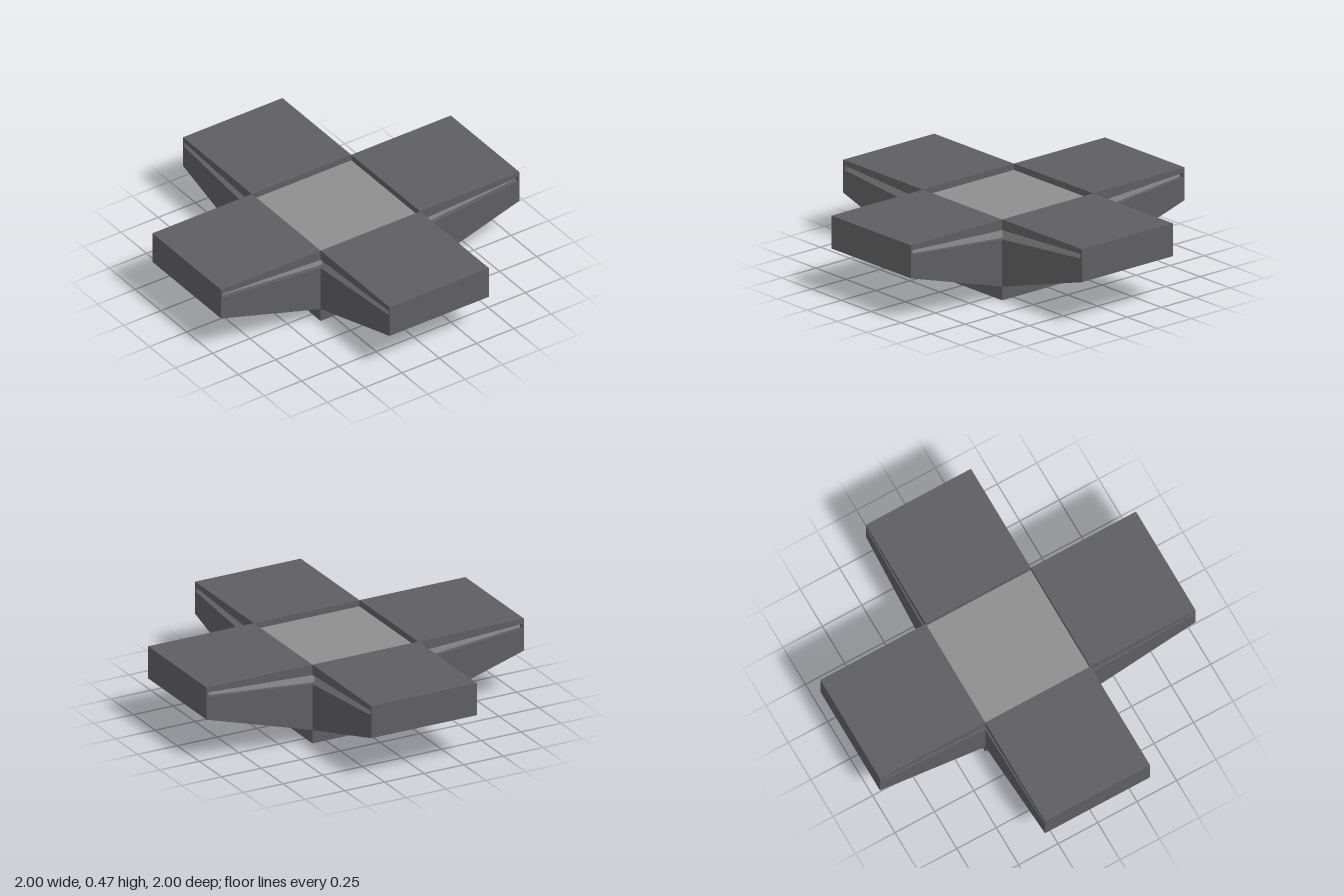
import * as THREE from 'three';

const HALF = 0.333;   // half width of the hub and of each arm
const INSET = 0.025;  // depth of the side grooves

export function createModel() {
  const model = new THREE.Group();
  model.name = 'crossPlatform';
  const dark = new THREE.MeshStandardMaterial({ color: 0x5e5e60 });
  dark.name = 'darkGrey';
  const light = new THREE.MeshStandardMaterial({ color: 0x8e8e8e });
  light.name = 'lightGrey';

  function add(parent, name, geometry, material) {
    const mesh = new THREE.Mesh(geometry, material);
    mesh.name = name;
    parent.add(mesh);
  }

  // Extrudes a side profile (distance from centre, height) across an arm along +x
  function slab(points, halfWidth) {
    const shape = new THREE.Shape(points.map(([r, y]) => new THREE.Vector2(r, y)));
    const geometry = new THREE.ExtrudeGeometry(shape, { depth: halfWidth * 2, bevelEnabled: false });
    return geometry.translate(0, 0, -halfWidth);
  }

  function block(half, bottom, top) {
    return new THREE.BoxGeometry(half * 2, top - bottom, half * 2).translate(0, (top + bottom) / 2, 0);
  }

  // Central hub with a recessed top panel
  add(model, 'hubBase', block(HALF, 0, 0.355), dark);
  add(model, 'hubCore', block(HALF - INSET, 0.355, 0.42), light);
  add(model, 'topPanel', block(HALF, 0.41, 0.435), light);

  // Arm shell: deck and keel joined at the tip, open along the tapered side groove
  const shell = slab([
    [HALF, 0.08], [1, 0.28], [1, 0.472], [HALF, 0.472],
    [HALF, 0.41], [0.99, 0.442], [0.99, 0.415], [HALF, 0.355],
  ], HALF);

  // Light strip set back inside the groove
  const strip = slab([
    [HALF - INSET, 0.353], [0.99, 0.415], [0.99, 0.442], [HALF - INSET, 0.409],
  ], HALF - INSET);

  ['rightArm', 'frontArm', 'leftArm', 'backArm'].forEach((name, i) => {
    const arm = new THREE.Group();
    arm.name = name;
    add(arm, 'armShell', shell, dark);
    add(arm, 'grooveStrip', strip, light);
    arm.rotation.y = Math.PI - i * Math.PI / 2 + (i % 2 ? Math.PI : 0);
    model.add(arm);
  });

  return model;
}
